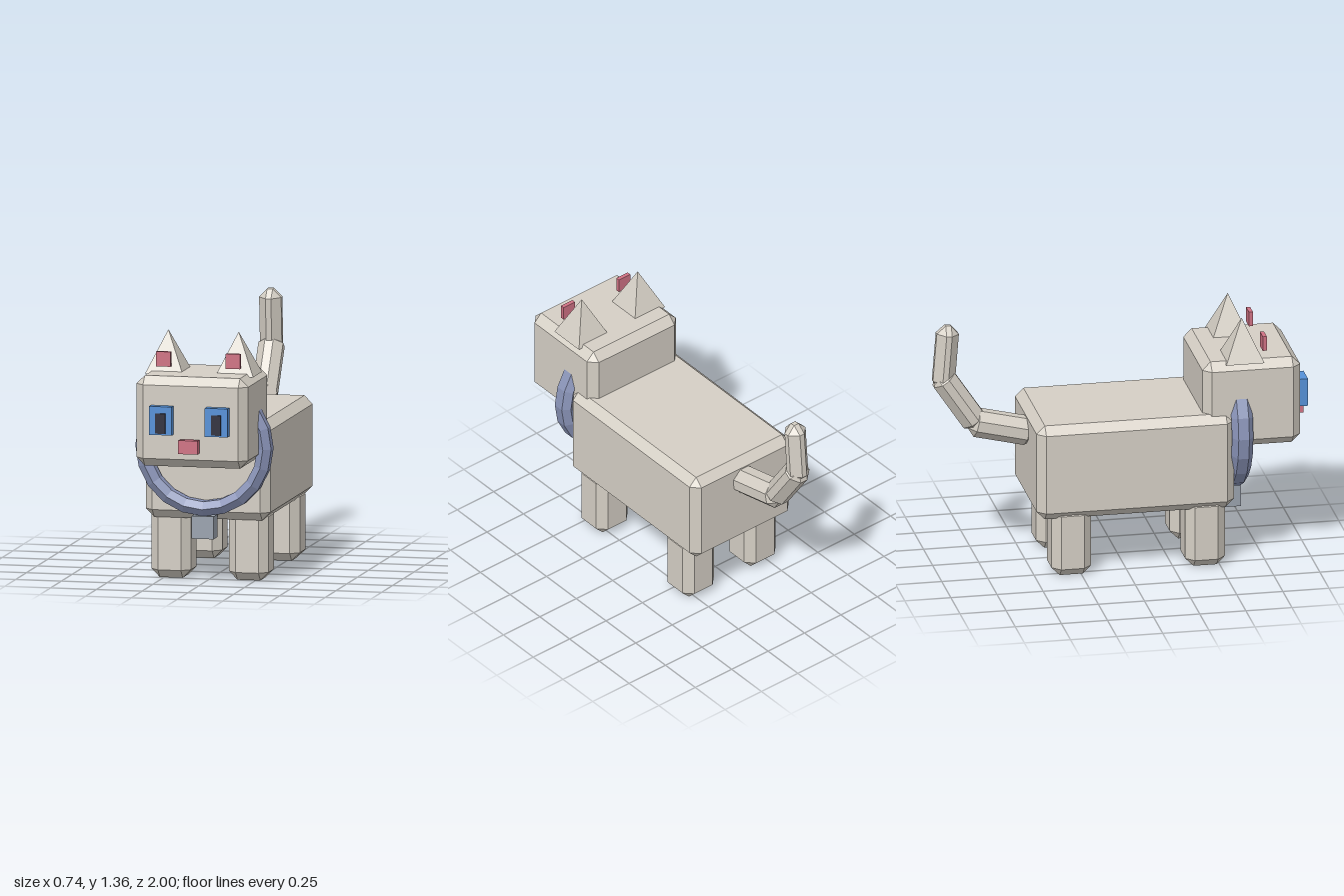
import * as THREE from 'three';
import { ConvexGeometry } from 'three/addons/geometries/ConvexGeometry.js';

const material = (name, color) => {
  const m = new THREE.MeshStandardMaterial({ color });
  m.name = name;
  return m;
};

// Box with every edge cut off by a flat bevel
function bevelBox(w, h, d, c = 0.045) {
  const points = [];
  for (const x of [-1, 1]) for (const y of [-1, 1]) for (const z of [-1, 1]) {
    const X = x * w / 2, Y = y * h / 2, Z = z * d / 2;
    points.push(
      new THREE.Vector3(X, Y - y * c, Z - z * c),
      new THREE.Vector3(X - x * c, Y, Z - z * c),
      new THREE.Vector3(X - x * c, Y - y * c, Z));
  }
  return new ConvexGeometry(points);
}

export function createModel() {
  const cat = new THREE.Group();
  cat.name = 'blockCat';

  const fur = material('fur', 0xd5cfc5);
  const pink = material('pink', 0xd07284);
  const blue = material('eyeBlue', 0x5591d8);
  const dark = material('pupilDark', 0x2e2e3c);
  const collarBlue = material('collarBlue', 0x8a94b8);
  const tagGrey = material('tagGrey', 0x9aa3ae);

  const add = (name, geometry, mat, x, y, z) => {
    const mesh = new THREE.Mesh(geometry, mat);
    mesh.name = name;
    mesh.position.set(x, y, z);
    cat.add(mesh);
    return mesh;
  };

  // Body and head
  add('body', bevelBox(0.68, 0.53, 1.07), fur, 0, 0.595, 0.04);
  add('head', bevelBox(0.61, 0.485, 0.53), fur, 0, 0.9025, 0.675);

  // Paired parts
  const leg = bevelBox(0.215, 0.39, 0.215);
  const ear = new THREE.ConeGeometry(0.146, 0.227, 4, 1).toNonIndexed();
  ear.rotateY(Math.PI / 4);
  ear.computeVertexNormals();
  for (const [side, s] of [['left', 1], ['right', -1]]) {
    add(side + 'FrontLeg', leg, fur, s * 0.212, 0.195, 0.422);
    add(side + 'BackLeg', leg, fur, s * 0.212, 0.195, -0.303);
    add(side + 'Ear', ear, fur, s * 0.192, 1.2435, 0.637);
    add(side + 'InnerEar', new THREE.BoxGeometry(0.078, 0.08, 0.022), pink, s * 0.19, 1.215, 0.755);
    add(side + 'Eye', new THREE.BoxGeometry(0.124, 0.153, 0.045), blue, s * 0.152, 0.917, 0.97);
    add(side + 'Pupil', new THREE.BoxGeometry(0.054, 0.108, 0.009), dark, s * 0.152, 0.903, 0.9955);
  }
  add('nose', new THREE.BoxGeometry(0.106, 0.073, 0.045), pink, 0, 0.78, 0.9775);

  // Collar: a ring with a six-sided section, flat on its inner and outer faces
  const section = [];
  for (let i = 0; i <= 6; i++) {
    const a = (i * Math.PI) / 3;
    section.push(new THREE.Vector2(0.332 + 0.045 * Math.sin(a), -0.058 * Math.cos(a)));
  }
  const ring = new THREE.LatheGeometry(section, 20).toNonIndexed();
  ring.rotateX(Math.PI / 2);
  ring.computeVertexNormals();
  add('collar', ring, collarBlue, 0, 0.73, 0.615);
  add('collarTag', new THREE.BoxGeometry(0.12, 0.122, 0.09), tagGrey, 0, 0.3, 0.615);

  // Tail: three bevelled segments [startY, startZ, endY, endZ, width]
  const segments = [
    [0.72, -0.45, 0.807, -0.81, 0.148],
    [0.775, -0.755, 1.09, -0.965, 0.135],
    [1.0, -0.945, 1.357, -0.917, 0.12],
  ];
  segments.forEach(([y0, z0, y1, z1, w], i) => {
    const dy = y1 - y0, dz = z1 - z0;
    const mesh = add('tailSegment' + (i + 1), bevelBox(w, Math.hypot(dy, dz), w), fur,
      0, (y0 + y1) / 2, (z0 + z1) / 2);
    mesh.rotation.x = Math.atan2(dz, dy);
  });

  return cat;
}
